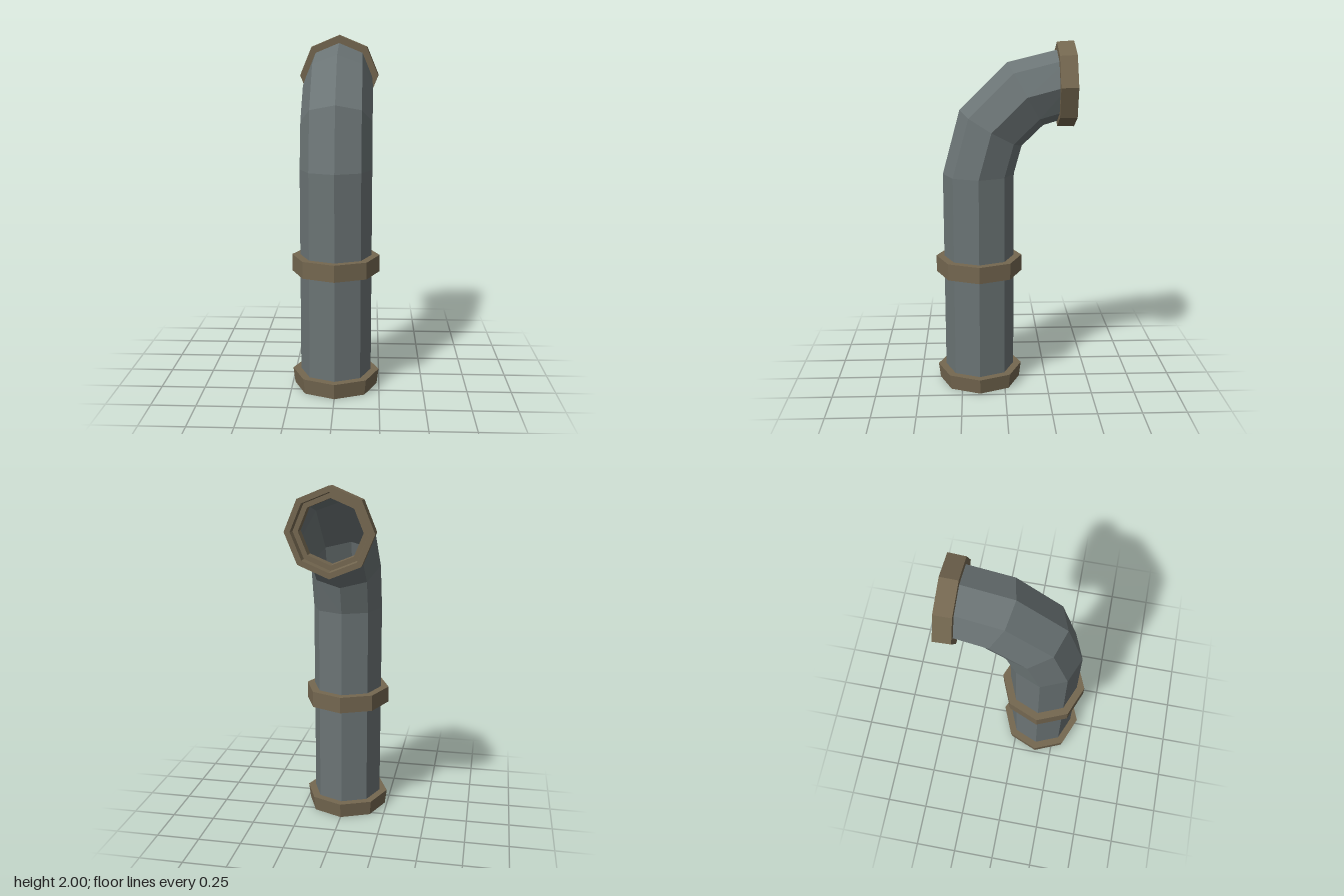
import * as THREE from 'three';

const SIDES = 8;
const AXIS_Z = 0.146; // centre line of the upright pipe
const RADIUS = 0.202;

// Eight-sided tube swept through rings of [y, z, bend angle, radius]
function sweepPipe(rings) {
  const pos = [], index = [];
  rings.forEach(([y, z, bend, r], i) => {
    for (let j = 0; j < SIDES; j++) {
      const a = (j / SIDES) * Math.PI * 2;
      const out = Math.cos(a) * r;
      pos.push(Math.sin(a) * r, y + out * Math.sin(bend), z + out * Math.cos(bend));
      if (i === rings.length - 1) continue;
      const k = (j + 1) % SIDES, n = i * SIDES;
      index.push(n + j, n + k, n + SIDES + j, n + k, n + SIDES + k, n + SIDES + j);
    }
  });
  const geo = new THREE.BufferGeometry();
  geo.setAttribute('position', new THREE.Float32BufferAttribute(pos, 3));
  geo.setIndex(index);
  geo.computeVertexNormals();
  return geo;
}

// Eight-sided collar turned from a profile of [radius, height]
function turn(profile) {
  return new THREE.LatheGeometry(profile.map(([r, h]) => new THREE.Vector2(r, h)), SIDES);
}

export function createModel() {
  const model = new THREE.Group();
  model.name = 'bentPipe';
  const steel = new THREE.MeshStandardMaterial({ color: 0x6b7475, flatShading: true, side: THREE.DoubleSide });
  const brass = new THREE.MeshStandardMaterial({ color: 0x746750, flatShading: true });

  const add = (name, geo, mat, y = 0, z = 0) => {
    const mesh = new THREE.Mesh(geo, mat);
    mesh.name = name;
    mesh.position.set(0, y, z);
    model.add(mesh);
    return mesh;
  };

  // Upright pipe, then an elbow bending backwards in 30 degree steps
  const rings = [[0.04, AXIS_Z, 0, RADIUS]];
  for (let i = 0; i < 3; i++) {
    const a = (i * Math.PI) / 6;
    rings.push([1.255 + 0.52 * Math.sin(a), AXIS_Z - 0.53 * (1 - Math.cos(a)), a, RADIUS]);
  }
  rings.push([1.763, -0.34, Math.PI / 2, 0.196]); // end hidden in the mouth flange
  add('pipe', sweepPipe(rings), steel);

  // Closed foot, slightly narrower at the ground
  add('baseFlange', turn([[0, 0], [0.237, 0], [0.248, 0.088], [0, 0.088]]), brass, 0, AXIS_Z);

  // Collar around the middle of the upright
  add('middleCollar', turn([[0.19, 0], [0.248, 0], [0.248, 0.095], [0.19, 0.095]]), brass, 0.675, AXIS_Z);

  // Open mouth with a recessed ledge, facing backwards
  const mouth = add('mouthFlange', turn([
    [0.17, 0], [0.233, 0], [0.237, 0.095], [0.205, 0.095], [0.2, 0.055], [0.172, 0.055], [0.17, 0],
  ]), brass, 1.758, -0.2955);
  mouth.rotation.x = -Math.PI / 2 + 0.02;

  return model;
}
